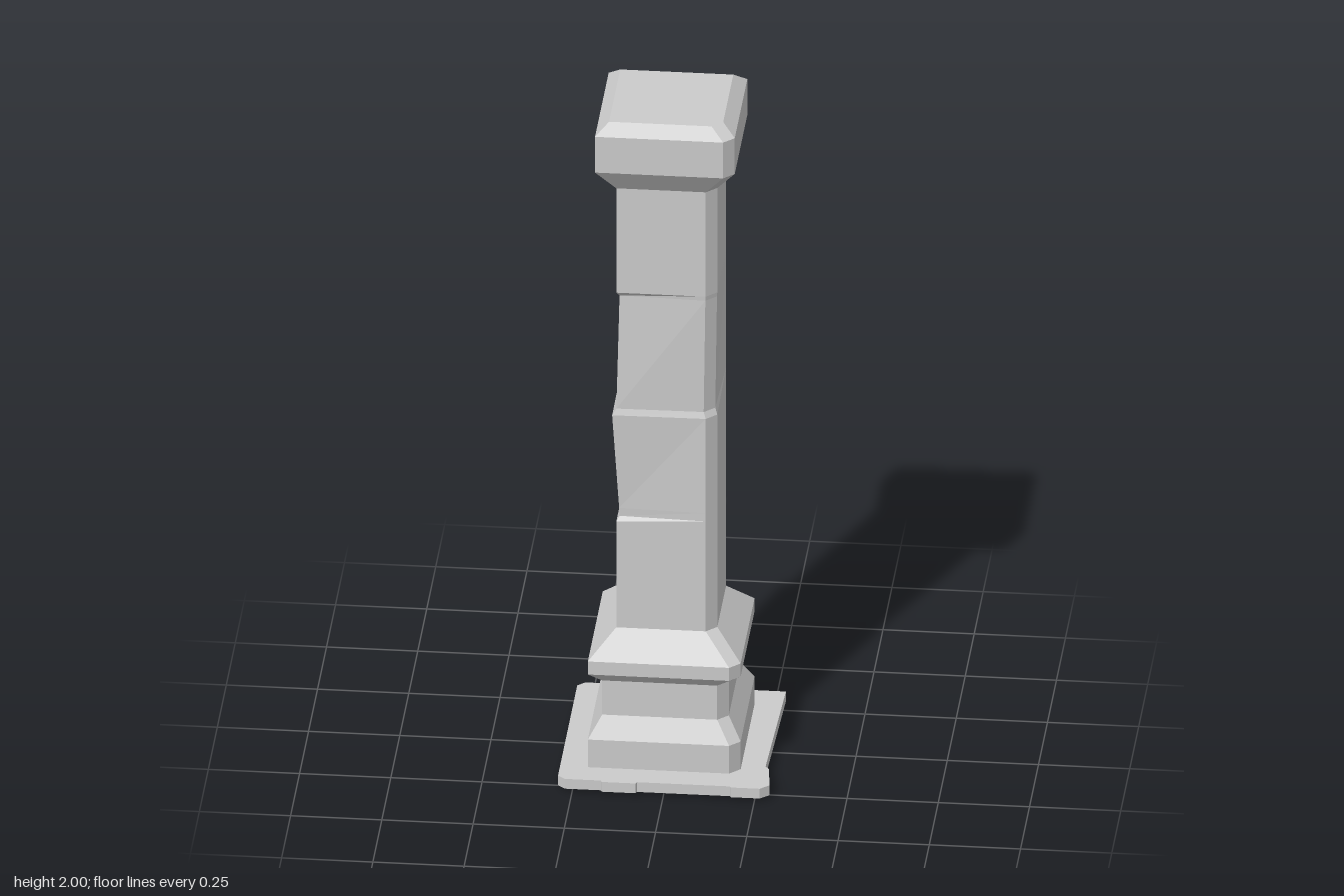
import * as THREE from 'three';

const material = new THREE.MeshStandardMaterial({ color: 0xcccccc, flatShading: true });
const CX = -0.006, CZ = 0.004, CHAMFER = 0.029;

// Square ring with the front corner at +x cut off.
// fl, fr, bl push the front-left, front-right and back-left corners outward.
function ring(y, half, { fl = [0, 0], fr = 0, bl = [0, 0] } = {}) {
  const x0 = CX - half, x1 = CX + half, z0 = CZ - half, z1 = CZ + half;
  return [
    [x0 - fl[0], y, z1 + fl[1]],
    [x1 - CHAMFER + fr, y, z1 + fr],
    [x1 + fr, y, z1 - CHAMFER + fr],
    [x1, y, z0],
    [x0 - bl[0], y, z0 - bl[1]],
  ];
}

// Flat-faced skin over a stack of rings, closed at both ends.
function loft(name, rings) {
  const pos = [];
  const tri = (a, b, c) => pos.push(...a, ...b, ...c);
  const n = rings[0].length;
  for (let i = 0; i < rings.length - 1; i++) {
    const lo = rings[i], hi = rings[i + 1];
    for (let j = 0; j < n; j++) {
      const k = (j + 1) % n;
      tri(lo[j], lo[k], hi[k]);
      tri(lo[j], hi[k], hi[j]);
    }
  }
  const bottom = rings[0], top = rings[rings.length - 1];
  for (let j = 1; j < n - 1; j++) {
    tri(bottom[0], bottom[j + 1], bottom[j]);
    tri(top[0], top[j], top[j + 1]);
  }
  const geo = new THREE.BufferGeometry();
  geo.setAttribute('position', new THREE.Float32BufferAttribute(pos, 3));
  geo.computeVertexNormals();
  const mesh = new THREE.Mesh(geo, material);
  mesh.name = name;
  return mesh;
}

// Horizontal plate from an (x, z) outline.
function plate(name, outline, y0, y1) {
  const shape = new THREE.Shape(outline.map(([x, z]) => new THREE.Vector2(x, -z)));
  const geo = new THREE.ExtrudeGeometry(shape, { depth: y1 - y0, bevelEnabled: false });
  geo.rotateX(-Math.PI / 2).translate(0, y0, 0);
  const mesh = new THREE.Mesh(geo, material);
  mesh.name = name;
  return mesh;
}

export function createModel() {
  const group = new THREE.Group();
  group.name = 'stonePillar';

  // Chipped floor slab and the loose piece at its back edge
  group.add(plate('floorSlab', [
    [-0.29, -0.265], [-0.27, -0.285], [0.28, -0.285], [0.268, 0.16], [0.278, 0.173],
    [0.29, 0.27], [0.265, 0.293], [0.185, 0.293], [0.183, 0.287], [-0.072, 0.287],
    [-0.075, 0.295], [-0.168, 0.295], [-0.171, 0.287], [-0.27, 0.287], [-0.29, 0.268],
  ], 0.01, 0.04));
  group.add(plate('slabChip', [
    [-0.03, -0.28], [-0.03, -0.285], [0.015, -0.3], [0.17, -0.3], [0.19, -0.285], [0.19, -0.28],
  ], 0, 0.034));

  // Stepped pedestal
  group.add(loft('pedestal', [
    [0.015, 0.208], [0.125, 0.208], [0.185, 0.172], [0.29, 0.172],
    [0.325, 0.208], [0.365, 0.208], [0.437, 0.137],
  ].map(([y, h]) => ring(y, h))));

  // Shaft with worn front-left edge and a slipped joint at mid height
  const S = 0.137;
  group.add(loft('shaft', [
    ring(0.437, S),
    ring(0.762, S),
    ring(0.775, S, { fl: [-0.008, -0.01] }),
    ring(0.8, S, { fl: [-0.007, -0.009] }),
    ring(1.09, S, { fl: [0.011, 0.003], bl: [0.012, 0.015] }),
    ring(1.108, S, { fl: [0, -0.003], fr: -0.006 }),
    ring(1.453, S, { fl: [-0.008, -0.01], fr: -0.001 }),
    ring(1.466, S),
    ring(1.787, S),
  ]));

  // Flared capital
  group.add(loft('capital', [
    [1.787, 0.137], [1.86, 0.19], [1.97, 0.19], [2, 0.155],
  ].map(([y, h]) => ring(y, h))));

  return group;
}
